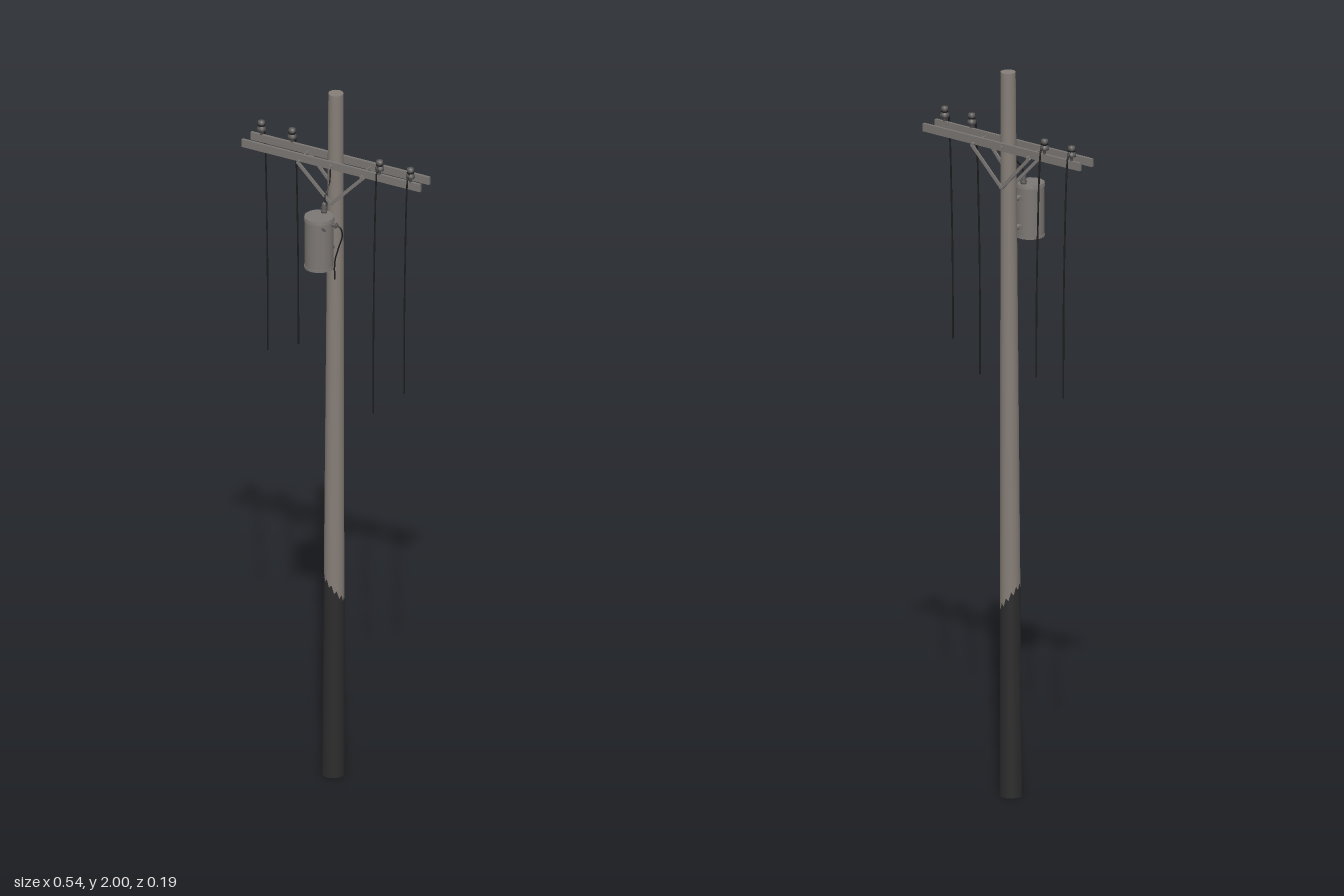
import * as THREE from 'three';

const V = (x, y, z) => new THREE.Vector3(x, y, z);
const mat = (name, color) => Object.assign(new THREE.MeshStandardMaterial({ color }), { name });

export function createModel() {
  const wood = mat('weathered wood', 0x857d77);
  const tar = mat('tarred wood', 0x2c2c2c);
  const arm = mat('crossarm wood', 0x797572);
  const steel = mat('grey steel', 0x7b7774);
  const ceramic = mat('dark ceramic', 0x5a5756);
  const cable = mat('black cable', 0x1c1c1c);
  const root = new THREE.Group();
  root.name = 'utilityPole';

  const add = (name, geo, material, x = 0, y = 0, z = 0, parent = root) => {
    const m = new THREE.Mesh(geo, material);
    m.name = name;
    m.position.set(x, y, z);
    parent.add(m);
    return m;
  };
  // Box or rod stretched between two points
  const between = (name, a, b, geo, material) => {
    const m = add(name, geo, material);
    m.position.copy(a).add(b).multiplyScalar(0.5);
    m.lookAt(b);
    return m;
  };
  const bar = (name, a, b, w, h, material) =>
    between(name, a, b, new THREE.BoxGeometry(w, h, a.distanceTo(b)), material);
  const rod = (name, a, b, r, material) =>
    between(name, a, b, new THREE.CylinderGeometry(r, r, a.distanceTo(b), 8).rotateX(Math.PI / 2), material);
  const wire = (name, pts, r, material = cable) =>
    add(name, new THREE.TubeGeometry(new THREE.CatmullRomCurve3(pts), 28, r, 6), material);

  // Tapered, slightly leaning pole section between two height rules
  const sides = 24;
  const poleSection = (low, high) => {
    const g = new THREE.CylinderGeometry(1, 1, 1, sides);
    const p = g.attributes.position;
    for (let i = 0; i < p.count; i++) {
      const x = p.getX(i), z = p.getZ(i);
      const k = Math.round(Math.atan2(x, z) / (Math.PI * 2) * sides) + sides;
      const y = p.getY(i) > 0 ? high(x, z, k) : low(x, z, k);
      const t = y / 2, r = 0.03 - 0.01 * t;
      p.setXYZ(i, x * r - 0.004 * (1 - t), y, z * r - 0.027 - 0.007 * t);
    }
    return g;
  };
  const tarLine = (x, z, k) => 0.55 - 0.03 * x + 0.015 * z + (k % 2 ? 0.008 : -0.008);
  add('poleBase', poleSection(() => 0, tarLine), tar);
  add('poleShaft', poleSection(tarLine, () => 2), wood);

  // Paired crossarms with bolts, and flat diagonal braces
  const armZ = [-0.059, -0.010];
  armZ.forEach((z, i) => {
    const out = i ? 1 : -1;
    const a = add(i ? 'frontCrossarm' : 'backCrossarm', new THREE.BoxGeometry(0.542, 0.022, 0.008), arm, 0, 1.798, z);
    a.rotation.y = -0.007;
    for (const s of [-1, 1]) {
      bar('brace', V(s * 0.1, 1.788, z + out * 0.007), V(0, 1.685, z + out * 0.002), 0.004, 0.009, steel);
      rod('braceBolt', V(s * 0.095, 1.79, z), V(s * 0.095, 1.79, z + out * 0.012), 0.004, steel);
    }
    rod('armBolt', V(0, 1.798, z), V(0, 1.798, z + out * 0.008), 0.005, steel);
    rod('braceFootBolt', V(0, 1.688, -0.034), V(0, 1.688, z + out * 0.007), 0.005, steel);
  });
  for (const x of [-0.094, 0.094]) rod('spacerRod', V(x, 1.798, -0.062), V(x, 1.798, -0.006), 0.002, steel);

  // Pin insulators and their hanging lines
  const insulator = new THREE.LatheGeometry([
    [0.004, 0], [0.004, 0.01], [0.012, 0.013], [0.012, 0.021], [0.007, 0.026],
    [0.007, 0.03], [0.010, 0.033], [0.009, 0.041], [0, 0.043],
  ].map(([x, y]) => new THREE.Vector2(x, y)), 10);
  const lines = [[-0.24, 0, 1.16], [-0.147, 0, 1.2], [0.147, 1, 1.12], [0.24, 1, 1.2]];
  for (const [x, front, end] of lines) {
    const d = front ? 1 : -1, z = armZ[front] + (front ? 0.002 : -0.001);
    add('insulator', insulator, ceramic, x, 1.808, z);
    const tie = add('wireTie', new THREE.TorusGeometry(0.008, 0.0022, 5, 12), cable, x, 1.836, z);
    tie.rotation.x = Math.PI / 2;
    wire('hangingLine', [
      V(x, 1.836, z + d * 0.006), V(x, 1.828, z + d * 0.014), V(x, 1.77, z + d * 0.021),
      V(x, 1.6, z + d * 0.028), V(x, 1.4, z + d * 0.033), V(x, end, z + d * 0.034),
    ], 0.0025);
  }

  // Transformer can with lid and lower rim
  const can = new THREE.Group();
  can.name = 'transformer';
  can.position.set(-0.002, 1.6, 0.053);
  root.add(can);
  const drum = (name, r1, r2, h, y) => add(name, new THREE.CylinderGeometry(r1, r2, h, 28), steel, 0, y, 0, can);
  drum('tank', 0.038, 0.038, 0.14, 0);
  drum('lid', 0.039, 0.0405, 0.009, 0.071);
  drum('bottomRim', 0.0395, 0.0395, 0.006, -0.07);

  // Hangers holding the can to the pole
  for (const y of [1.56, 1.64]) {
    bar('hanger', V(0, y, -0.02), V(0, y, 0.018), 0.016, 0.012, steel);
    for (const x of [-0.006, 0.006]) rod('hangerBolt', V(x, y, -0.012), V(x, y, 0.002), 0.003, ceramic);
  }

  // Ribbed top bushing and its lead to the crossarm
  const bushing = new THREE.LatheGeometry([
    [0.008, 0], [0.008, 0.006], [0.010, 0.009], [0.006, 0.013], [0.009, 0.017],
    [0.005, 0.022], [0.007, 0.026], [0.003, 0.031], [0, 0.034],
  ].map(([x, y]) => new THREE.Vector2(x, y)), 12);
  add('topBushing', bushing, ceramic, -0.001, 1.674, 0.028);
  wire('topLead', [V(0, 1.705, 0.028), V(0, 1.726, 0.022), V(0, 1.745, 0.002), V(0, 1.79, -0.005)], 0.002);

  // Side terminals and the drooping lead
  rod('sideTerminal', V(0.034, 1.658, 0.05), V(0.052, 1.658, 0.05), 0.005, ceramic);
  rod('sideTerminalCap', V(0.046, 1.658, 0.05), V(0.049, 1.658, 0.05), 0.008, ceramic);
  rod('frontTerminal', V(0.02, 1.655, 0.076), V(0.034, 1.655, 0.087), 0.004, ceramic);
  wire('sideLead', [
    V(0.048, 1.658, 0.05), V(0.06, 1.653, 0.048), V(0.064, 1.63, 0.046),
    V(0.052, 1.59, 0.045), V(0.043, 1.55, 0.048), V(0.045, 1.5, 0.053),
  ], 0.002);
  return root;
}
